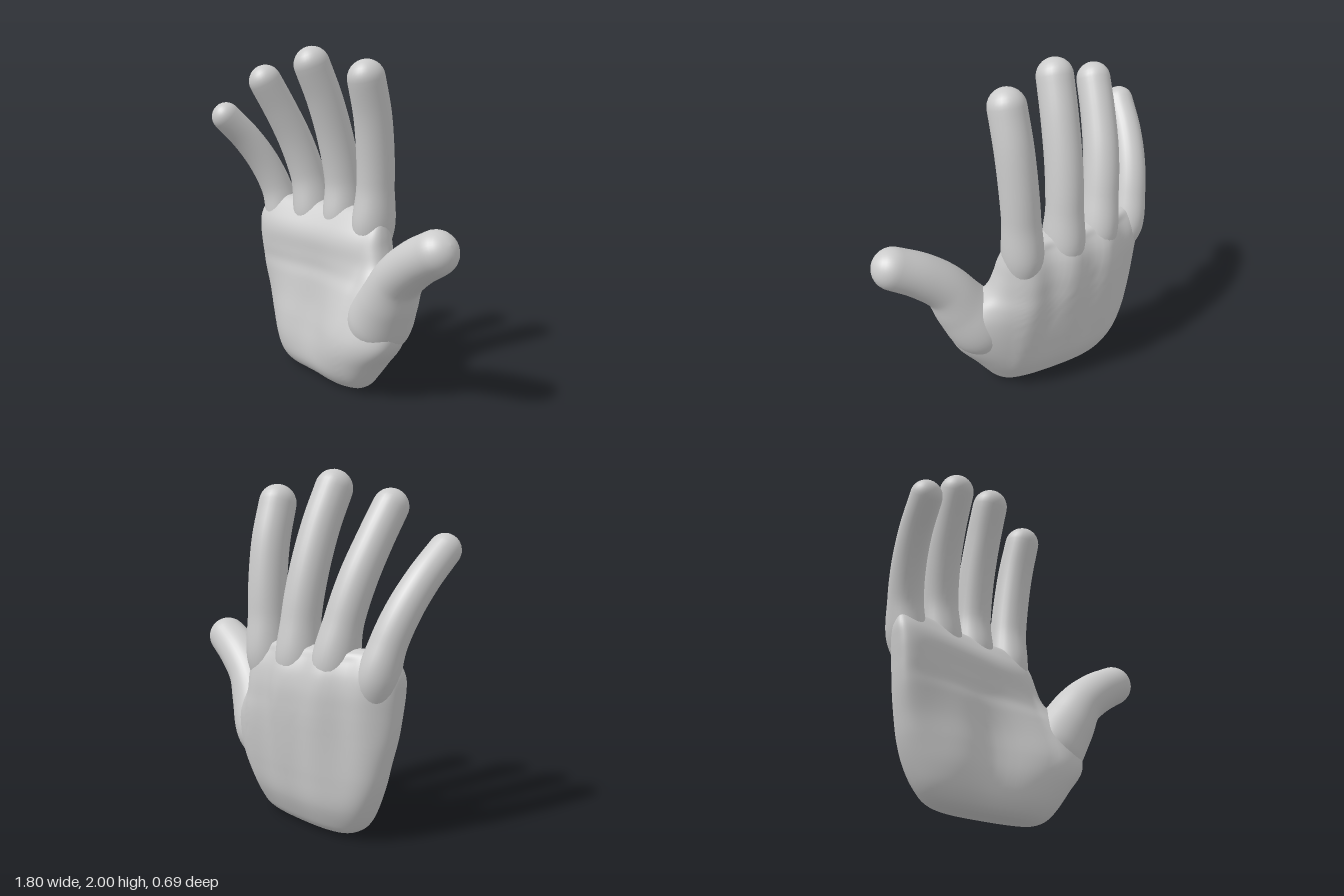
import * as THREE from 'three';

const skinMaterial = new THREE.MeshStandardMaterial({ color: 0xcccccc });
const gauss = (d, w) => Math.exp(-(d * d) / (w * w));
const signedPow = (v, p) => Math.sign(v) * Math.pow(Math.abs(v), p);

// Closed smooth skin over rings of points, each end closed with a centre point
function skin(name, rings) {
  const n = rings[0].length, pos = [], idx = [];
  rings.forEach(r => r.forEach(p => pos.push(p.x, p.y, p.z)));
  for (let i = 0; i < rings.length - 1; i++) {
    for (let j = 0; j < n; j++) {
      const a = i * n + j, b = i * n + (j + 1) % n;
      idx.push(a, a + n, b, b, a + n, b + n);
    }
  }
  [0, rings.length - 1].forEach(i => {
    const c = rings[i].reduce((s, p) => s.add(p), new THREE.Vector3()).divideScalar(n);
    const k = pos.length / 3;
    pos.push(c.x, c.y, c.z);
    for (let j = 0; j < n; j++) {
      const a = i * n + j, b = i * n + (j + 1) % n;
      if (i === 0) idx.push(k, a, b); else idx.push(k, b, a);
    }
  });
  const g = new THREE.BufferGeometry();
  g.setAttribute('position', new THREE.Float32BufferAttribute(pos, 3));
  g.setIndex(idx);
  g.computeVertexNormals();
  const mesh = new THREE.Mesh(g, skinMaterial);
  mesh.name = name;
  return mesh;
}

// Curved digit with a round tip; keys are [x, y, z, radius across, radius in depth]
function digit(name, keys, sides = 28, steps = 32, capSteps = 8) {
  const path = new THREE.CatmullRomCurve3(keys.map(k => new THREE.Vector3(k[0], k[1], k[2])));
  const size = new THREE.CatmullRomCurve3(keys.map(k => new THREE.Vector3(k[3], k[4], 0)));
  const rings = [];
  const addRing = (t, push, scale) => {
    const T = path.getTangent(t), r = size.getPoint(t);
    const U = new THREE.Vector3().crossVectors(T, new THREE.Vector3(0, 0, 1)).normalize();
    const V = new THREE.Vector3().crossVectors(U, T);
    const c = path.getPoint(t).addScaledVector(T, push * r.x);
    rings.push(Array.from({ length: sides }, (_, j) => {
      const a = j / sides * Math.PI * 2;
      return c.clone().addScaledVector(U, Math.cos(a) * r.x * scale)
        .addScaledVector(V, Math.sin(a) * r.y * scale);
    }));
  };
  for (let i = 0; i <= steps; i++) addRing(i / steps, 0, 1);
  for (let i = 1; i < capSteps; i++) {
    const a = i / capSteps * Math.PI / 2;
    addRing(1, Math.sin(a), Math.cos(a));
  }
  addRing(1, 1, 0.03);
  return skin(name, rings);
}

// Palm with the ball of the thumb: rows are [y, right edge, left edge, back, front]
function palm() {
  const rows = [
    [0.005, -0.36, 0.12, -0.09, 0.02], [0.015, -0.46, 0.18, -0.13, 0.055],
    [0.045, -0.53, 0.225, -0.17, 0.09], [0.1, -0.58, 0.27, -0.205, 0.115],
    [0.2, -0.635, 0.345, -0.25, 0.12], [0.34, -0.69, 0.455, -0.28, 0.1],
    [0.46, -0.72, 0.475, -0.3, 0.075], [0.57, -0.745, 0.435, -0.315, 0.055],
    [0.66, -0.76, 0.355, -0.325, 0.04], [0.74, -0.77, 0.275, -0.33, 0.025],
    [0.84, -0.783, 0.235, -0.33, 0.01], [0.93, -0.79, 0.215, -0.315, -0.015],
    [1.0, -0.775, 0.195, -0.285, -0.055], [1.045, -0.75, 0.175, -0.25, -0.095],
    [1.065, -0.71, 0.14, -0.2, -0.14],
  ];
  const edges = new THREE.CatmullRomCurve3(rows.map(r => new THREE.Vector3(r[1], r[0], r[2])));
  const depth = new THREE.CatmullRomCurve3(rows.map(r => new THREE.Vector3(r[3], r[0], r[4])));
  const rings = [], steps = 70, sides = 96;
  for (let i = 0; i <= steps; i++) {
    const e = edges.getPoint(i / steps), d = depth.getPoint(i / steps), y = e.y;
    const mid = (d.x + d.z) / 2, half = (d.z - d.x) / 2;
    const rise = THREE.MathUtils.smoothstep(y, 0.05, 0.8);
    const ridgeFade = rise * (1 - THREE.MathUtils.smoothstep(y, 1.0, 1.06));
    rings.push(Array.from({ length: sides }, (_, j) => {
      const a = j / sides * Math.PI * 2, s = Math.sin(a);
      const x = (e.x + e.z) / 2 + (e.z - e.x) / 2 * signedPow(Math.cos(a), 0.8);
      let z = mid + half * signedPow(s, 0.75);
      // both the little finger side and the thumb side come forward
      z += 0.3 * Math.max(0, -0.1 - x) ** 2 * rise + 0.28 * Math.max(0, x - 0.15);
      if (s < 0) {
        // knuckle ridges along the back
        const t = (x + 0.8) / 1.0;
        z += 0.016 * s * Math.cos((t - 0.1) / 0.263 * Math.PI * 2) * ridgeFade
          * (1 - THREE.MathUtils.smoothstep(x, 0.1, 0.25));
      } else {
        // heel pads, hollow of the palm, finger pads and creases
        z += s * (0.08 * gauss(x - 0.2, 0.25) * gauss(y - 0.32, 0.28)
          + 0.03 * gauss(x + 0.45, 0.18) * gauss(y - 0.28, 0.25)
          - 0.03 * gauss(x + 0.2, 0.14) * gauss(y - 0.36, 0.3)
          + 0.014 * gauss(y - 0.87, 0.08) - 0.009 * gauss(y - 0.67, 0.05));
      }
      return new THREE.Vector3(x, y, z);
    }));
  }
  return skin('palm', rings);
}

export function createModel() {
  const hand = new THREE.Group();
  hand.name = 'hand';
  hand.add(palm());

  // Fingers start inside the palm and curl forward: points are [x, y, z, radius]
  const fingers = {
    indexFinger: [[0.07, 0.76, -0.16, 0.09], [0.085, 0.98, -0.18, 0.119], [0.095, 1.2, -0.183, 0.109],
      [0.105, 1.4, -0.17, 0.108], [0.115, 1.62, -0.137, 0.107], [0.123, 1.825, -0.08, 0.105]],
    middleFinger: [[-0.18, 0.76, -0.165, 0.09], [-0.182, 0.98, -0.178, 0.122], [-0.188, 1.2, -0.172, 0.108],
      [-0.2, 1.45, -0.127, 0.106], [-0.212, 1.7, -0.05, 0.104], [-0.225, 1.897, 0.032, 0.103]],
    ringFinger: [[-0.41, 0.76, -0.13, 0.09], [-0.432, 0.98, -0.14, 0.121], [-0.463, 1.2, -0.115, 0.106],
      [-0.497, 1.42, -0.05, 0.102], [-0.525, 1.62, 0.043, 0.098], [-0.546, 1.795, 0.14, 0.096]],
    littleFinger: [[-0.64, 0.7, -0.06, 0.06], [-0.686, 0.93, -0.08, 0.105], [-0.72, 1.1, -0.052, 0.097],
      [-0.757, 1.27, 0.018, 0.093], [-0.791, 1.43, 0.125, 0.089], [-0.817, 1.572, 0.258, 0.086]],
  };
  // the knuckle, second in each list, is deeper so that it merges with the palm
  for (const [name, keys] of Object.entries(fingers)) {
    hand.add(digit(name, keys.map((k, i) => [...k, k[3] * (i === 1 ? 1.16 : 1.05)])));
  }

  // Thumb: narrow root hidden in the ball of the palm
  hand.add(digit('thumb', [
    [0.1, 0.16, -0.03, 0.05, 0.05], [0.2, 0.31, -0.035, 0.13, 0.14], [0.305, 0.47, -0.035, 0.188, 0.185],
    [0.402, 0.622, -0.012, 0.166, 0.168], [0.49, 0.765, 0.004, 0.138, 0.15],
    [0.63, 0.885, 0.016, 0.13, 0.137], [0.778, 0.973, 0.025, 0.122, 0.122],
  ], 36, 44));
  return hand;
}
